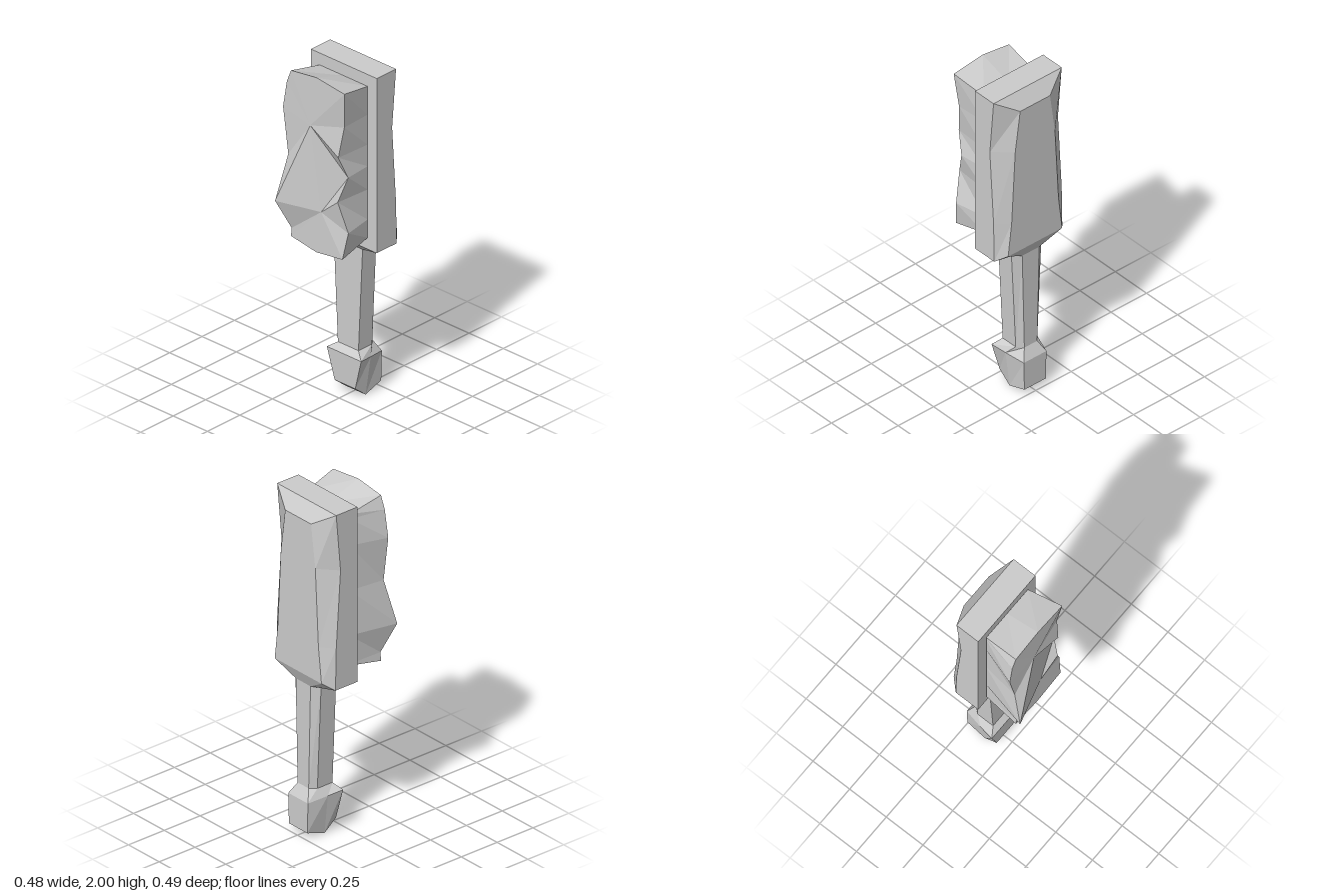
import * as THREE from 'three';

const material = new THREE.MeshStandardMaterial({ color: 0xcccccc, flatShading: true });

// Collects flat polygons (corners counter-clockwise from outside) into a mesh
function facetMesh(name, polygons) {
  const pos = [];
  for (const p of polygons)
    for (let i = 1; i < p.length - 1; i++) pos.push(...p[0], ...p[i], ...p[i + 1]);
  const geo = new THREE.BufferGeometry();
  geo.setAttribute('position', new THREE.Float32BufferAttribute(pos, 3));
  geo.computeVertexNormals();
  const mesh = new THREE.Mesh(geo, material);
  mesh.name = name;
  return mesh;
}

// Six-sided loft, bottom to top. Each section gives its +x half: front, side, back corner
function loft(name, sections) {
  const rings = sections.map((h) => [...h, ...[...h].reverse().map(([x, y, z]) => [-x, y, z])]);
  const polys = [];
  for (let r = 0; r < rings.length - 1; r++)
    for (let i = 0; i < 6; i++) {
      const j = (i + 1) % 6;
      polys.push([rings[r][i], rings[r][j], rings[r + 1][j], rings[r + 1][i]]);
    }
  const b = rings[0], t = rings[rings.length - 1];
  polys.push([b[0], b[5], b[4], b[1]], [b[1], b[4], b[3], b[2]]);
  polys.push([t[0], t[1], t[4], t[5]], [t[1], t[2], t[3], t[4]]);
  return facetMesh(name, polys);
}

// Irregular bristle block: ragged front outline, two inner points, straight back outline
function bristles() {
  // clockwise from the top, seen from the front
  const outline = [
    [0, 2, 0.175], [0.205, 1.975, 0.175], [0.185, 1.76, 0.155], [0.165, 1.58, 0.18],
    [0.19, 1.45, 0.13], [0.16, 1.31, 0.18], [0.21, 1.13, 0.15], [0.19, 0.975, 0.175],
    [0, 0.95, 0.175], [-0.185, 0.98, 0.175], [-0.18, 1.03, 0.175], [-0.235, 1.2, 0.245],
    [-0.2, 1.47, 0.18], [-0.24, 1.74, 0.178], [-0.215, 1.9, 0.175], [-0.185, 1.975, 0.175],
  ];
  const upper = [-0.04, 1.7, 0.18], lower = [0.03, 1.2, 0.17];
  const right = 4, left = 11; // outline points where the two fans meet
  const back = outline.map(([x, y]) =>
    [Math.sign(x) * 0.175, THREE.MathUtils.clamp(y, 1.02, 1.93), -0.035]);
  const polys = [[upper, lower, outline[right]], [upper, outline[left], lower], [...back]];
  outline.forEach((p, i) => {
    const j = (i + 1) % outline.length;
    polys.push([i >= right && i < left ? lower : upper, outline[j], p]);
    polys.push([p, outline[j], back[j], back[i]]);
  });
  return facetMesh('bristles', polys);
}

export function createModel() {
  const group = new THREE.Group();
  group.name = 'brush';

  const gripBottom = [[0.075, 0.29, -0.07], [0.075, 0.29, -0.175], [0.045, 0.29, -0.21]];
  const gripTop = [[0.105, 0.91, -0.07], [0.105, 0.91, -0.175], [0.06, 0.91, -0.21]];

  // Faceted knob at the end of the handle
  group.add(loft('handleKnob', [
    [[0.075, 0.07, -0.045], [0.075, 0.005, -0.125], [0.075, 0.045, -0.245]],
    [[0.125, 0.255, -0.038], [0.108, 0.243, -0.13], [0.08, 0.225, -0.245]],
    gripBottom,
  ]));

  // Tapered grip
  group.add(loft('handleGrip', [gripBottom, gripTop]));

  // Head with chamfered back edges
  group.add(loft('head', [
    gripTop,
    [[0.24, 0.95, -0.037], [0.24, 0.95, -0.19], [0.19, 0.99, -0.245]],
    [[0.24, 1.2, -0.037], [0.24, 1.2, -0.185], [0.165, 1.2, -0.245]],
    [[0.24, 1.66, -0.037], [0.24, 1.66, -0.155], [0.14, 1.66, -0.245]],
    [[0.24, 2, -0.037], [0.24, 2, -0.185], [0.105, 1.915, -0.245]],
  ]));

  group.add(bristles());
  return group;
}
